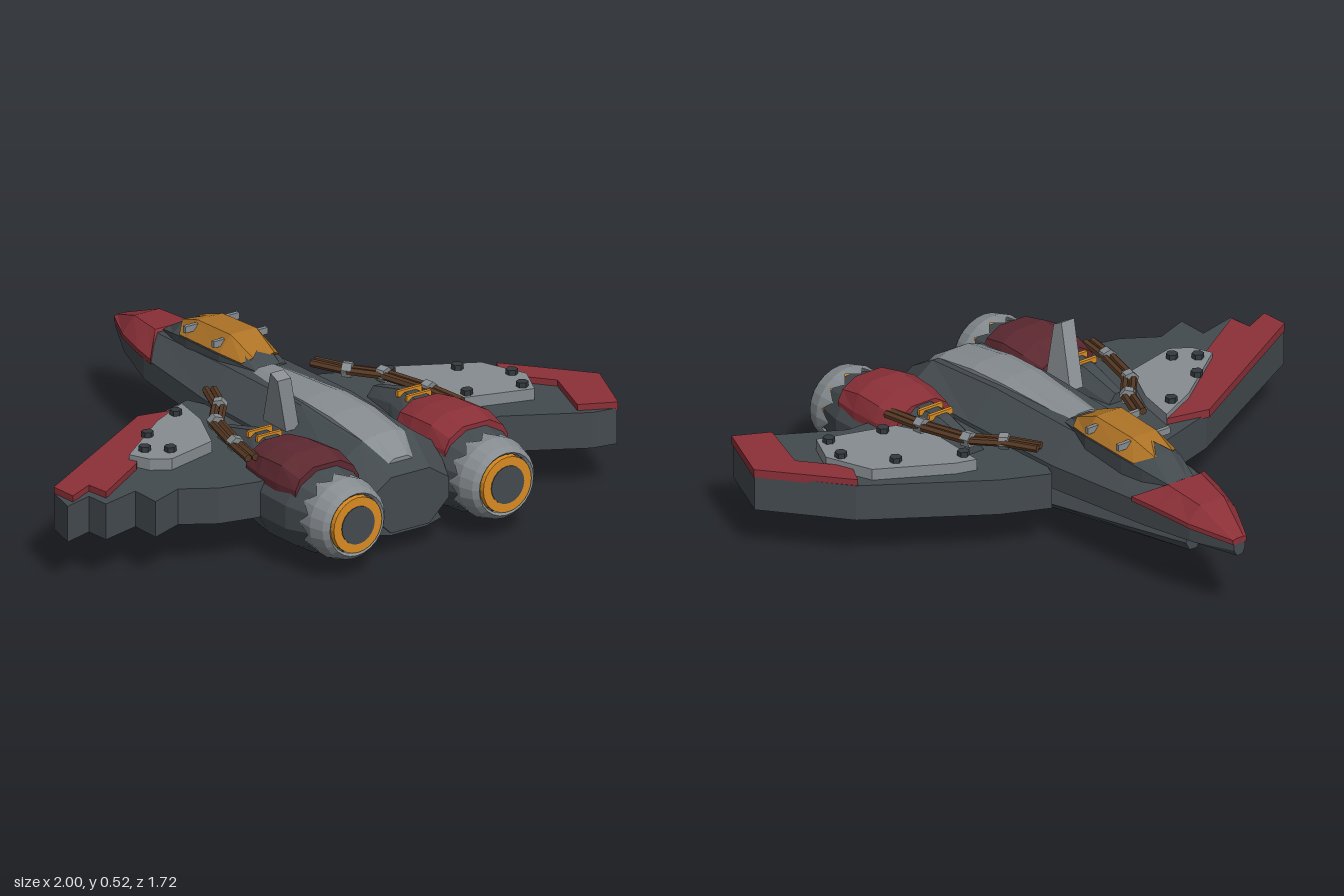
import * as THREE from 'three';

const mat = (name, color, side = THREE.FrontSide) => {
  const m = new THREE.MeshStandardMaterial({ color, flatShading: true, side });
  m.name = name;
  return m;
};

// Interpolate a table of rows keyed by their first column
function rowAt(rows, z) {
  let i = 0;
  while (i < rows.length - 2 && z > rows[i + 1][0]) i++;
  const a = rows[i], b = rows[i + 1], t = (z - a[0]) / (b[0] - a[0]);
  return a.map((v, k) => v + (b[k] - v) * t);
}

// Skin between closed rings of [x, y, z], anticlockwise seen from +z, ordered by z
function loft(rings) {
  const pos = [], idx = [], n = rings[0].length;
  rings.forEach(r => r.forEach(p => pos.push(...p)));
  for (let i = 0; i < rings.length - 1; i++)
    for (let j = 0; j < n; j++) {
      const k = (j + 1) % n, a = i * n, b = a + n;
      idx.push(a + j, a + k, b + k, a + j, b + k, b + j);
    }
  const last = (rings.length - 1) * n;
  for (let j = 1; j < n - 1; j++) idx.push(0, j + 1, j, last, last + j, last + j + 1);
  const g = new THREE.BufferGeometry();
  g.setAttribute('position', new THREE.Float32BufferAttribute(pos, 3));
  g.setIndex(idx);
  const flat = g.toNonIndexed();
  flat.computeVertexNormals();
  return flat;
}

// Horizontal slab from an [x, z] outline
function slab(outline, y0, y1) {
  const s = new THREE.Shape(outline.map(([x, z]) => new THREE.Vector2(x, -z)));
  return new THREE.ExtrudeGeometry(s, { depth: y1 - y0, bevelEnabled: false })
    .rotateX(-Math.PI / 2).translate(0, y0, 0);
}

function rodGeometry(a, b, r, sides = 6) {
  const d = b.clone().sub(a);
  const g = new THREE.CylinderGeometry(r, r, d.length(), sides);
  g.applyQuaternion(new THREE.Quaternion().setFromUnitVectors(new THREE.Vector3(0, 1, 0), d.normalize()));
  return g.translate((a.x + b.x) / 2, (a.y + b.y) / 2, (a.z + b.z) / 2);
}

export function createModel() {
  const hullGrey = mat('hull grey', 0x434a4e);
  const plateGrey = mat('plate grey', 0x868c90, THREE.DoubleSide);
  const red = mat('red paint', 0x8c3038);
  const darkRed = mat('dark red paint', 0x5e2931);
  const amber = mat('canopy amber', 0xae7326);
  const glow = mat('engine orange', 0xd98c22);
  const brown = mat('cable brown', 0x553823);
  const boltGrey = mat('bolt grey', 0x33393d);

  const group = new THREE.Group();
  const add = (name, geo, material, parent = group) => {
    const m = new THREE.Mesh(geo, material);
    m.name = name;
    parent.add(m);
    return m;
  };

  // Fuselage: z, centre x, half width, top y, shoulder y, lower side y, bottom y
  const hull = [
    [-0.86, 0.08, 0.022, 0.275, 0.262, 0.235, 0.215],
    [-0.7, 0.065, 0.09, 0.33, 0.275, 0.225, 0.2],
    [-0.5, 0.045, 0.135, 0.345, 0.285, 0.21, 0.17],
    [-0.1, 0.045, 0.185, 0.37, 0.28, 0.2, 0.14],
    [0.3, 0.045, 0.2, 0.375, 0.28, 0.19, 0.1],
    [0.62, 0.045, 0.2, 0.35, 0.28, 0.17, 0.08],
    [0.755, 0.045, 0.15, 0.27, 0.22, 0.15, 0.08],
  ];
  add('fuselage', loft(hull.map(([z, c, w, t, s, l, b]) => [
    [c - w / 2, b, z], [c + w / 2, b, z], [c + w, l, z], [c + w, s, z],
    [c + w / 2, t, z], [c - w / 2, t, z], [c - w, s, z], [c - w, l, z],
  ])), hullGrey);

  // Keel: z, centre x, half width, bottom half width, top, side, bottom y
  add('keel', loft([
    [-0.6, 0.06, 0.03, 0.015, 0.18, 0.158, 0.13],
    [0, 0.045, 0.14, 0.06, 0.18, 0.1, 0.045],
    [0.43, 0.04, 0.22, 0.09, 0.16, 0.05, 0],
    [0.75, 0.04, 0.13, 0.07, 0.14, 0.085, 0.07],
  ].map(([z, c, w, v, t, s, b]) => [
    [c - v, b, z], [c + v, b, z], [c + w, s, z], [c + w * 0.75, t, z],
    [c - w * 0.75, t, z], [c - w, s, z],
  ])), hullGrey);

  // Red nose shell, its sides reaching further back than its top
  const noseRing = (zSide, zTop, lift) => {
    const [, c, w, , s] = rowAt(hull, zSide), [, d, v, t] = rowAt(hull, zTop);
    const o = w + 0.006;
    return [[c - o, s - 0.004, zSide], [c + o, s - 0.004, zSide], [c + o, s + 0.012, zSide],
      [d + v / 2 + 0.004, t + lift, zTop], [d - v / 2 - 0.004, t + lift, zTop], [c - o, s + 0.012, zSide]];
  };
  add('nosePaint', loft([noseRing(-0.862, -0.862, 0.003), noseRing(-0.7, -0.7, 0.008),
    noseRing(-0.56, -0.6, 0.008), noseRing(-0.45, -0.54, 0.008)]), red);

  // Canopy: z, half width, shoulder y, roof half width, roof y
  const canopy = [
    [-0.54, 0.05, 0.345, 0.02, 0.35],
    [-0.44, 0.08, 0.37, 0.035, 0.405],
    [-0.35, 0.094, 0.382, 0.045, 0.432],
    [-0.17, 0.096, 0.388, 0.048, 0.441],
    [-0.02, 0.06, 0.372, 0.035, 0.378],
  ];
  const cx = 0.06;
  add('canopyFrame', loft(canopy.map(([z, w, s, v, t]) => [
    [cx - w, 0.3, z], [cx + w, 0.3, z], [cx + w, s, z],
    [cx + v, t, z], [cx, t + 0.001, z], [cx - v, t, z], [cx - w, s, z],
  ])), hullGrey);
  const glassRing = (zs, zr, zc) => {
    const [, w, s] = rowAt(canopy, zs), [, , , v, t] = rowAt(canopy, zr), tc = rowAt(canopy, zc)[4];
    return [[cx - w + 0.008, s - 0.01, zs], [cx + w - 0.008, s - 0.01, zs], [cx + w - 0.001, s + 0.005, zs],
      [cx + v + 0.003, t + 0.006, zr], [cx, tc + 0.008, zc], [cx - v - 0.003, t + 0.006, zr], [cx - w + 0.001, s + 0.005, zs]];
  };
  add('canopyGlass', loft([glassRing(-0.4, -0.45, -0.385), glassRing(-0.35, -0.35, -0.35),
    glassRing(-0.17, -0.17, -0.17), glassRing(-0.08, -0.06, -0.09)]), amber);
  for (const z of [-0.345, -0.19])
    for (const s of [-1, 1])
      add('canopyClip', new THREE.BoxGeometry(0.055, 0.022, 0.014).translate(cx + s * 0.078, 0.42, z), plateGrey);

  // Dorsal spine plate: z, half width, top y
  add('spine', loft([
    [-0.02, 0.055, 0.383], [0.3, 0.08, 0.398], [0.45, 0.083, 0.392], [0.62, 0.08, 0.365], [0.71, 0.05, 0.31],
  ].map(([z, w, t]) => [
    [0.04 - w, t - 0.05, z], [0.04 + w, t - 0.05, z], [0.04 + w, t - 0.015, z],
    [0.04 + w / 2, t, z], [0.04 - w / 2, t, z], [0.04 - w, t - 0.015, z],
  ])), plateGrey);

  // Leaning dorsal fin
  const finShape = new THREE.Shape([[0.345, 0.32], [0.22, 0.32], [0.31, 0.518], [0.345, 0.5]]
    .map(([z, y]) => new THREE.Vector2(-z, y)));
  const fin = new THREE.ExtrudeGeometry(finShape, { depth: 0.052, bevelEnabled: false }).rotateY(Math.PI / 2);
  const fp = fin.attributes.position;
  for (let i = 0; i < fp.count; i++) fp.setX(i, fp.getX(i) - 0.148 - (fp.getY(i) - 0.33) * 0.18);
  add('fin', fin, plateGrey);

  // Wings, with ragged right trailing edge, paint, armour, bolts and cables
  const wings = [{
    name: 'rightWing',
    outline: [[-0.165, -0.165], [-0.4, -0.09], [-0.97, 0.23], [-1, 0.345], [-0.895, 0.315], [-0.89, 0.4],
      [-0.75, 0.365], [-0.75, 0.475], [-0.63, 0.43], [-0.52, 0.5], [-0.39, 0.53], [-0.1, 0.53], [-0.1, 0]],
    paint: [[-0.4, -0.105], [-0.25, -0.072], [-0.6, 0.17], [-0.64, 0.22], [-0.86, 0.36], [-0.87, 0.28],
      [-0.965, 0.325], [-0.97, 0.228]],
    armour: [[-0.64, 0.18], [-0.4, 0], [-0.25, -0.075], [-0.28, 0.07], [-0.36, 0.24], [-0.55, 0.288], [-0.61, 0.25]],
    bolts: [[-0.32, -0.01], [-0.5, 0.085], [-0.58, 0.18], [-0.515, 0.23]],
    cable: [[-0.155, -0.055], [-0.205, 0.065], [-0.29, 0.165], [-0.34, 0.34], [-0.362, 0.46]],
  }, {
    name: 'leftWing',
    outline: [[0.25, -0.12], [0.41, -0.05], [0.79, 0.2], [0.995, 0.46], [0.9, 0.69], [0.815, 0.675],
      [0.56, 0.53], [0.2, 0.525], [0.2, 0]],
    paint: [[0.785, 0.197], [0.998, 0.46], [0.903, 0.693], [0.785, 0.635], [0.855, 0.43], [0.74, 0.285]],
    armour: [[0.42, 0.05], [0.49, 0.07], [0.725, 0.2], [0.785, 0.36], [0.73, 0.48], [0.47, 0.4], [0.41, 0.28]],
    bolts: [[0.435, 0.1], [0.63, 0.2], [0.745, 0.335], [0.71, 0.44], [0.53, 0.39]],
    cable: [[0.25, -0.055], [0.305, 0.055], [0.38, 0.145], [0.43, 0.32], [0.45, 0.46]],
  }];
  for (const w of wings) {
    const wing = new THREE.Group();
    wing.name = w.name;
    group.add(wing);
    add('wingPanel', slab(w.outline, 0.145, 0.267), hullGrey, wing);
    add('wingPaint', slab(w.paint, 0.26, 0.288), red, wing);
    add('wingArmour', slab(w.armour, 0.26, 0.305), plateGrey, wing);
    for (const [x, z] of w.bolts)
      add('bolt', new THREE.CylinderGeometry(0.02, 0.02, 0.02, 6).translate(x, 0.312, z), boltGrey, wing);
    const path = w.cable.map(([x, z], i) => new THREE.Vector3(x, 0.336 - i * 0.004, z));
    for (let i = 0; i < path.length - 1; i++) {
      const a = path[i], b = path[i + 1], dir = b.clone().sub(a).normalize();
      const off = new THREE.Vector3(dir.z, 0, -dir.x).multiplyScalar(0.013);
      for (const s of [-1, 1])
        add('cable', rodGeometry(a.clone().addScaledVector(off, s), b.clone().addScaledVector(off, s), 0.013), brown, wing);
      if (i) add('cableClamp', rodGeometry(a.clone().addScaledVector(dir, -0.016), a.clone().addScaledVector(dir, 0.016), 0.027), plateGrey, wing);
    }
  }

  // Engines: nacelle, painted cover, vents and jagged nozzle
  for (const [name, x, paint] of [['rightEngine', -0.235, darkRed], ['leftEngine', 0.35, red]]) {
    const engine = new THREE.Group();
    engine.name = name;
    engine.position.set(x, 0.19, 0);
    group.add(engine);
    add('nacelle', loft([
      [0.15, 0.05, 0.11], [0.3, 0.075, 0.148], [0.42, 0.115, 0.15], [0.52, 0.145, 0.15], [0.67, 0.147, 0.145], [0.77, 0.118, 0.118],
    ].map(([z, rx, ry]) => Array.from({ length: 12 }, (_, i) => {
      const a = (i + 0.5) * Math.PI / 6;
      return [Math.cos(a) * rx / 0.966, Math.sin(a) * ry / 0.966, z];
    }))), hullGrey, engine);
    add('engineCover', loft([[0.41, 0.88, 0.155], [0.5, 1, 0.17], [0.6, 1.02, 0.175], [0.69, 0.95, 0.155]]
      .map(([z, k, t]) => [
        [-0.13 * k, 0.05, z], [0.13 * k, 0.05, z], [0.13 * k, 0.09, z], [0.11 * k, t - 0.03, z],
        [0.055 * k, t, z], [-0.055 * k, t, z], [-0.11 * k, t - 0.03, z], [-0.13 * k, 0.09, z],
      ])), paint, engine);
    for (const z of [0.325, 0.375])
      add('vent', new THREE.BoxGeometry(0.095, 0.02, 0.012).translate(0, 0.147, z), glow, engine);

    const profile = [[0.133, 0.74], [0.136, 0.785], [0.122, 0.835], [0.106, 0.853], [0.098, 0.845]]
      .map(p => new THREE.Vector2(...p));
    const nozzle = new THREE.LatheGeometry(profile, 24);
    const np = nozzle.attributes.position;
    for (let i = 0; i < np.count; i += profile.length)
      np.setY(i, (i / profile.length) % 2 ? 0.765 : 0.725);
    add('nozzle', nozzle.rotateX(Math.PI / 2), plateGrey, engine);
    add('exhaustRing', new THREE.CylinderGeometry(0.094, 0.094, 0.06, 24).rotateX(Math.PI / 2).translate(0, 0, 0.828), glow, engine);
    add('exhaustCore', new THREE.CylinderGeometry(0.064, 0.064, 0.006, 20).rotateX(Math.PI / 2).translate(0, 0, 0.858), hullGrey, engine);
  }
  return group;
}
